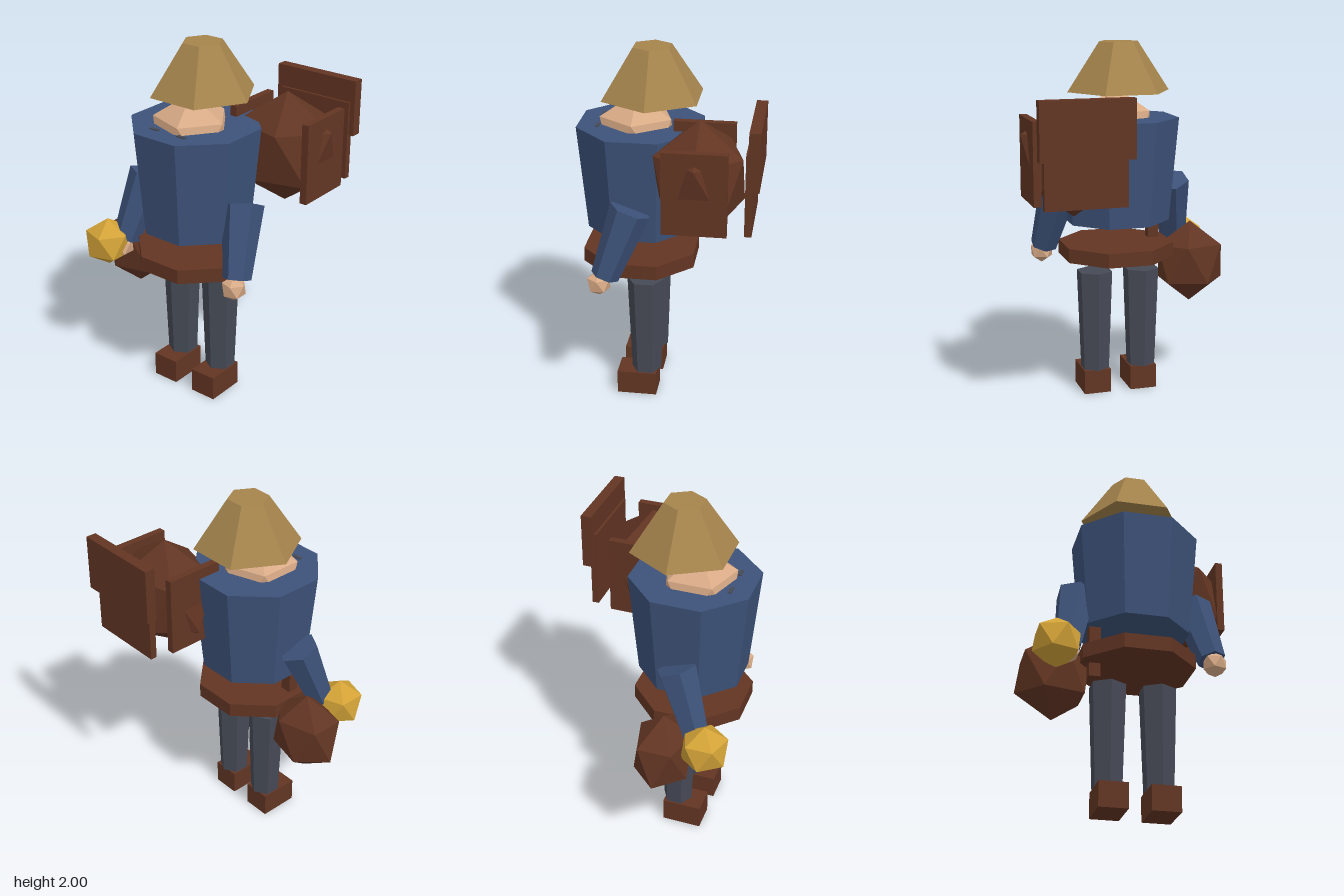
import * as THREE from 'three';

const mat = (name, color) => {
  const m = new THREE.MeshStandardMaterial({ color });
  m.name = name;
  return m;
};

export function createModel() {
  const blue = mat('coat blue', 0x3d5279);
  const straw = mat('hat straw', 0xa5844c);
  const gold = mat('lantern gold', 0xd2a237);
  const skin = mat('skin', 0xd8aa86);
  const leather = mat('leather brown', 0x623523);
  const slate = mat('slate grey', 0x464a56);

  const model = new THREE.Group();
  model.name = 'traveller';
  const CX = 0.01; // the body's own centre line

  // Adds a faceted mesh at a position
  const add = (name, geometry, material, x, y, z) => {
    const g = geometry.index ? geometry.toNonIndexed() : geometry;
    g.computeVertexNormals();
    const mesh = new THREE.Mesh(g, material);
    mesh.name = name;
    mesh.position.set(x, y, z);
    model.add(mesh);
    return mesh;
  };
  const box = (w, h, d) => new THREE.BoxGeometry(w, h, d);
  // Prism with `sides` sides, turned by half a side when asked
  const prism = (top, bottom, h, sides, half) =>
    new THREE.CylinderGeometry(top, bottom, h, sides).rotateY(half ? Math.PI / sides : 0);
  // Twenty-sided ball standing on a vertex
  const ball = (rx, ry = rx, rz = rx) =>
    new THREE.IcosahedronGeometry(1, 0)
      .rotateZ(-Math.atan(2 / (1 + Math.sqrt(5))))
      .scale(rx, ry, rz);

  // Hat, head and coat
  add('hat', prism(0.11, 0.29, 0.27, 6, true), straw, CX, 1.865, 0.108);
  add('head', ball(0.226), skin, 0.004, 1.517, 0.193);
  add('coat', prism(0.355, 0.302, 0.58, 8, true), blue, CX, 1.29, 0.171);
  add('belt', prism(0.33, 0.33, 0.08, 8, true), leather, CX, 0.83, 0.174);

  // Paired parts
  const up = new THREE.Vector3(0, 1, 0);
  for (const [side, s] of [['left', 1], ['right', -1]]) {
    add(side + 'Eye', box(0.055, 0.06, 0.02), slate, CX + s * 0.09, 1.556, 0.39);
    add(side + 'Leg', prism(0.104, 0.083, 0.575, 6, false), slate, CX + s * 0.137, 0.427, 0.133);
    add(side + 'Boot', box(0.155, 0.137, 0.222), leather, CX + s * 0.137, 0.0685, 0.18);

    // Sleeve from shoulder to wrist, with the hand at its end
    const shoulder = new THREE.Vector3(CX + s * 0.325, 1.205, 0.18);
    const wrist = new THREE.Vector3(CX + s * 0.39, 0.84, 0.312);
    const dir = shoulder.clone().sub(wrist);
    const mid = shoulder.clone().add(wrist).multiplyScalar(0.5);
    const arm = add(side + 'Arm', prism(0.112, 0.076, dir.length(), 6, false), blue, mid.x, mid.y, mid.z);
    arm.quaternion.setFromUnitVectors(up, dir.normalize());
    add(side + 'Hand', ball(0.07), skin, CX + s * 0.395, 0.802, 0.344);
  }

  // Lantern, pouch and its strap on the right side
  add('lantern', ball(0.14), gold, -0.45, 0.823, 0.383);
  add('pouch', ball(0.22, 0.238, 0.176), leather, -0.43, 0.725, 0.15);
  add('pouchStrap', box(0.062, 0.285, 0.06), leather, -0.222, 0.858, 0.22);

  // Pack with side boards and two back boards
  add('pack', ball(0.312, 0.31, 0.268), leather, 0.343, 1.415, -0.184);
  for (const s of [-1, 1]) {
    add(s > 0 ? 'leftPackBoard' : 'rightPackBoard', box(0.04, 0.437, 0.33), leather, 0.343 + s * 0.229, 1.418, -0.184);
  }
  add('lowerBackBoard', box(0.438, 0.437, 0.037), leather, 0.345, 1.418, -0.453);
  add('upperBackBoard', box(0.498, 0.307, 0.058), leather, 0.343, 1.604, -0.477);

  return model;
}
